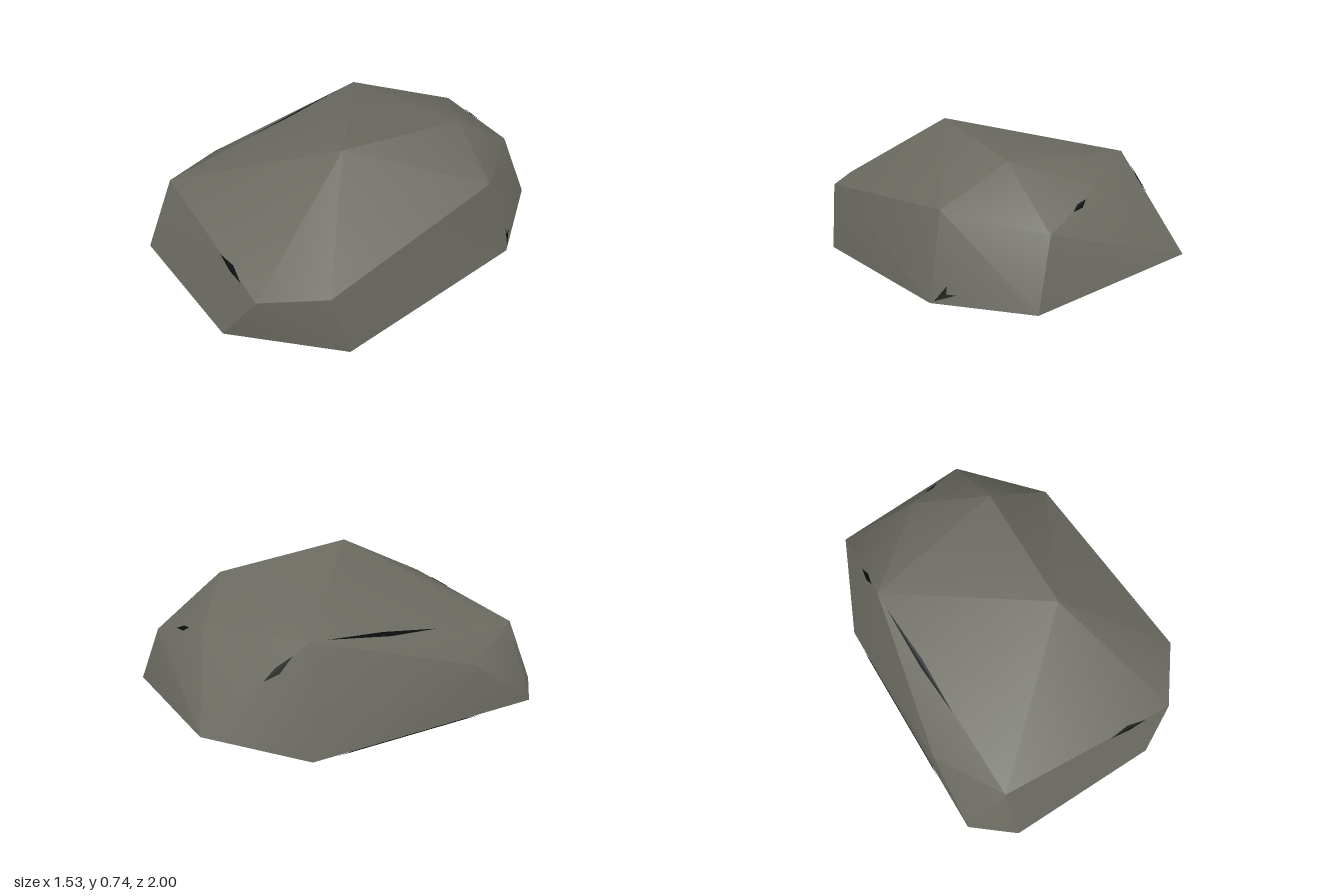
import * as THREE from 'three';
import { toCreasedNormals } from 'three/addons/utils/BufferGeometryUtils.js';
import { ConvexGeometry } from 'three/addons/geometries/ConvexGeometry.js';

const v = (x, y, z) => new THREE.Vector3(x, y, z);

// Corners of the boulder
const P = {
  // base ring
  baseLeftFront: v(-0.77, 0.03, 0.74),
  baseFrontLeft: v(-0.57, 0.01, 0.93),
  baseFrontRight: v(0.27, 0.03, 1.0),
  baseRightFront: v(0.74, 0, 0.58),
  baseRightBack: v(0.765, 0.07, -0.5),
  baseBackRight: v(0.48, 0.1, -0.95),
  baseBackLeft: v(-0.37, 0.21, -1.0),
  baseLeftBack: v(-0.64, 0.05, -0.55),
  // shoulders
  frontLeft: v(-0.54, 0.4, 0.77),
  frontRight: v(0.45, 0.31, 0.91),
  rightFront: v(0.68, 0.34, 0.65),
  rightBack: v(0.655, 0.485, -0.43),
  backRight: v(0.36, 0.43, -0.88),
  left: v(-0.715, 0.33, 0.38),
  // crown
  apex: v(0.225, 0.743, 0.2),
  crownBack: v(0.33, 0.68, -0.515),
  crownRear: v(0, 0.57, -0.78),
  crownLeft: v(-0.46, 0.595, -0.45),
};

// Thin dark crevice along the edge a-b, spreading over the faces towards c and d
function crevice(a, b, from, to, c, d, wc, wd, material) {
  const start = P[a].clone().lerp(P[b], from);
  const end = P[a].clone().lerp(P[b], to);
  const mid = start.clone().lerp(end, 0.5);
  const side = (k, w) => mid.clone().add(P[k].clone().sub(mid).setLength(w));
  const centre = v(0, 0.3, 0);
  const points = [start, end, side(c, wc), start, end, side(d, wd)]
    .map((p) => p.clone().sub(centre).multiplyScalar(1.006).add(centre));
  const geometry = new THREE.BufferGeometry().setFromPoints(points);
  geometry.computeVertexNormals();
  const mesh = new THREE.Mesh(geometry, material);
  mesh.name = 'crevice';
  return mesh;
}

export function createModel() {
  const stone = new THREE.MeshStandardMaterial({ color: 0x6a6a61 });
  stone.name = 'stone grey';
  const dark = new THREE.MeshStandardMaterial({ color: 0x0a0a0a, side: THREE.DoubleSide });
  dark.name = 'crevice black';

  const group = new THREE.Group();
  group.name = 'rock';

  // Faceted body, softened where faces meet at shallow angles
  const body = new THREE.Mesh(
    toCreasedNormals(new ConvexGeometry(Object.values(P)), 0.55), stone);
  body.name = 'boulder';
  group.add(body);

  // Crevices on the worn edges
  group.add(
    crevice('frontLeft', 'frontRight', 0.63, 0.85, 'apex', 'baseFrontRight', 0.02, 0.014, dark),
    crevice('crownLeft', 'frontLeft', 0.08, 0.6, 'apex', 'left', 0.015, 0.035, dark),
    crevice('crownLeft', 'baseBackLeft', 0.15, 0.42, 'crownRear', 'baseLeftBack', 0.015, 0.025, dark),
    crevice('crownRear', 'backRight', 0.28, 0.55, 'crownBack', 'baseBackLeft', 0.012, 0.02, dark),
    crevice('baseRightBack', 'backRight', 0.04, 0.32, 'rightBack', 'baseBackRight', 0.04, 0.05, dark),
    crevice('baseLeftFront', 'baseLeftBack', 0.25, 0.9, 'left', 'baseRightFront', 0.006, 0.03, dark),
  );
  return group;
}
